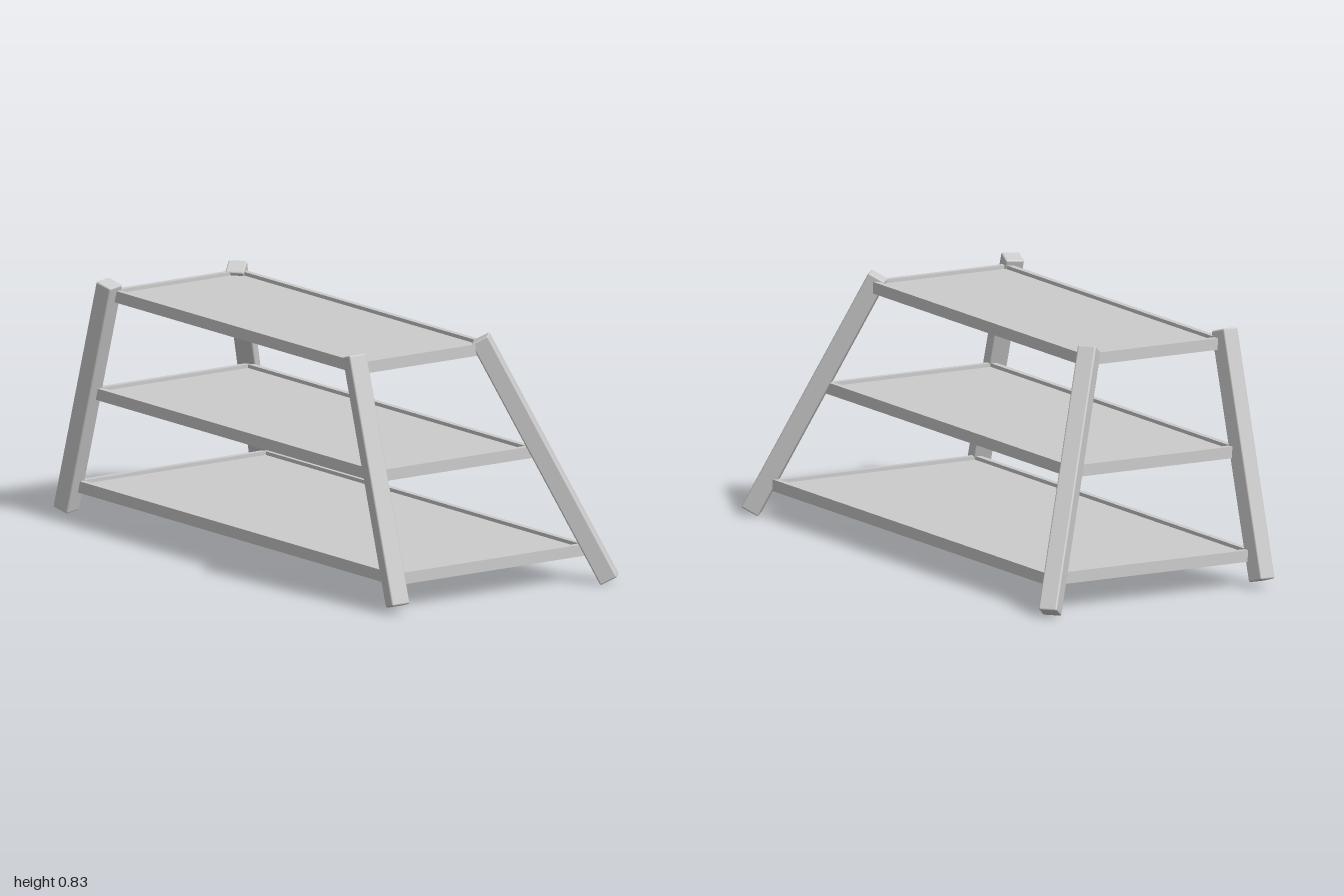
import * as THREE from 'three';
import { RoundedBoxGeometry } from 'three/addons/geometries/RoundedBoxGeometry.js';

const material = new THREE.MeshStandardMaterial({ color: 0xcccccc });
const LEG = 0.063;

// Square leg between two end centres; `out` is the horizontal facing of its outer side.
function makeLeg(name, top, bottom, out) {
  const up = top.clone().sub(bottom);
  const length = up.length();
  up.normalize();
  const x = out.clone().addScaledVector(up, -out.dot(up)).normalize();
  const z = new THREE.Vector3().crossVectors(x, up);
  const leg = new THREE.Mesh(new RoundedBoxGeometry(LEG, length, LEG, 2, 0.006), material);
  leg.quaternion.setFromRotationMatrix(new THREE.Matrix4().makeBasis(x, up, z));
  leg.position.copy(top).add(bottom).multiplyScalar(0.5);
  leg.name = name;
  return leg;
}

function makeBar(name, w, h, d, x, y, z) {
  const bar = new THREE.Mesh(new THREE.BoxGeometry(w, h, d), material);
  bar.position.set(x, y, z);
  bar.name = name;
  return bar;
}

// Shelf: a panel inside a slightly raised rim of four rails.
function makeShelf(name, halfWidth, back, front, y0, y1) {
  const shelf = new THREE.Group();
  shelf.name = name;
  const rail = 0.02, recess = 0.012;
  const h = y1 - y0, y = (y0 + y1) / 2;
  const depth = front - back, z = (front + back) / 2;
  const inner = 2 * (halfWidth - rail);
  shelf.add(
    makeBar('panel', inner, h - recess, depth - 2 * rail, 0, y - recess / 2, z),
    makeBar('frontRail', inner, h, rail, 0, y, front - rail / 2),
    makeBar('backRail', inner, h, rail, 0, y, back + rail / 2)
  );
  for (const s of [-1, 1]) {
    shelf.add(makeBar(s > 0 ? 'leftRail' : 'rightRail', rail, h, depth, s * (halfWidth - rail / 2), y, z));
  }
  return shelf;
}

export function createModel() {
  const model = new THREE.Group();
  model.name = 'shelfStand';

  // Splayed legs, mirrored left and right
  const twist = 0.23;
  for (const s of [-1, 1]) {
    const side = s > 0 ? 'Left' : 'Right';
    model.add(
      makeLeg('front' + side + 'Leg',
        new THREE.Vector3(s * 0.677, 0.83, 0.417),
        new THREE.Vector3(s * 0.917, 0.033, 0.417),
        new THREE.Vector3(s * Math.cos(twist), 0, Math.sin(twist))),
      makeLeg('back' + side + 'Leg',
        new THREE.Vector3(s * 0.675, 0.82, -0.095),
        new THREE.Vector3(s * 0.957, 0.02, -0.413),
        new THREE.Vector3(s * 0.282, 0, -0.318).normalize())
    );
  }

  // Shelves grow wider and deeper towards the floor
  model.add(
    makeShelf('topShelf', 0.69, -0.125, 0.405, 0.766, 0.805),
    makeShelf('middleShelf', 0.785, -0.23, 0.405, 0.421, 0.46),
    makeShelf('bottomShelf', 0.885, -0.375, 0.405, 0.093, 0.132)
  );
  return model;
}
